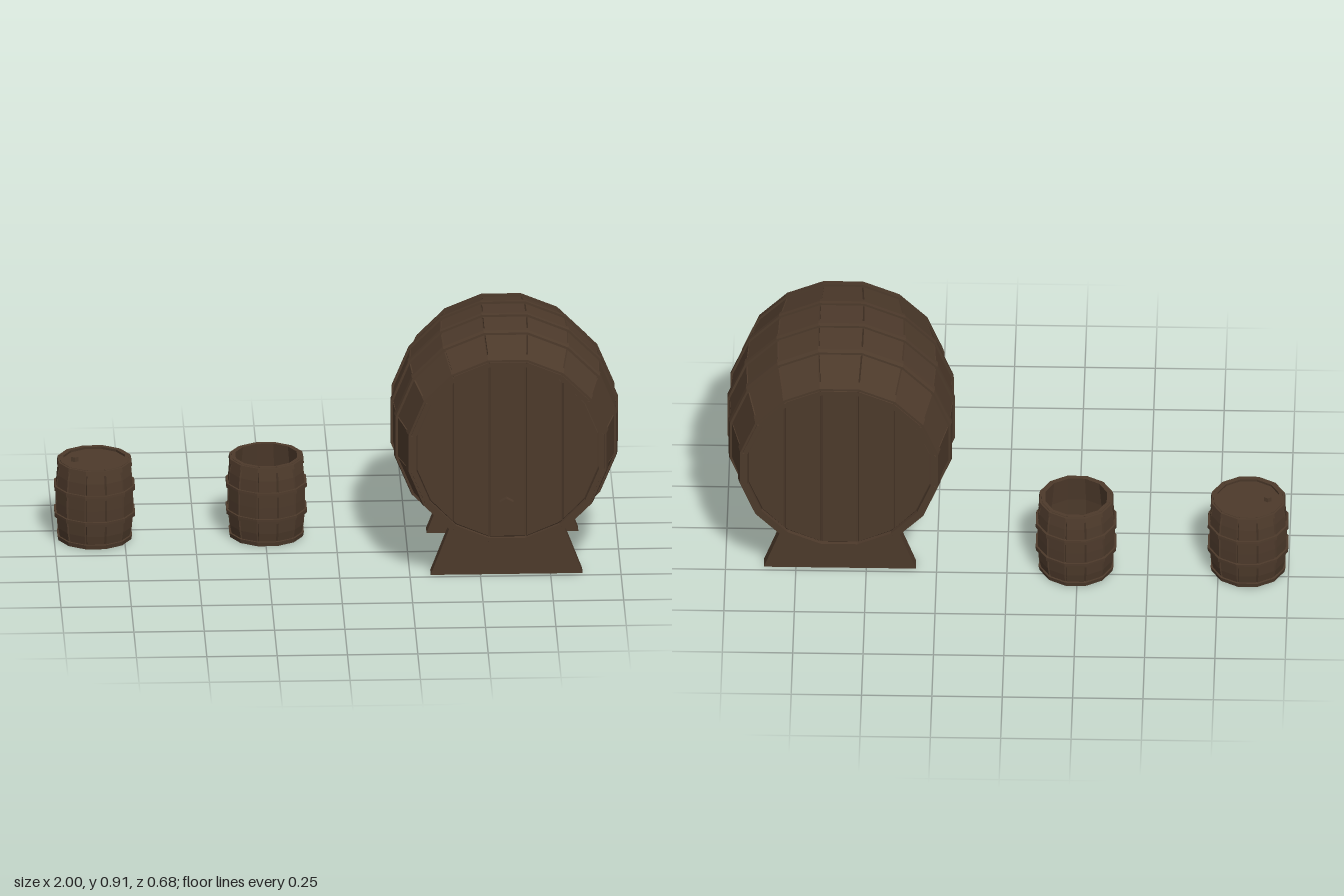
import * as THREE from 'three';

const wood = new THREE.MeshStandardMaterial({ color: 0x4d3a2b, flatShading: true });
wood.name = 'dark wood';

function add(parent, name, geometry) {
  const geo = geometry.index ? geometry.toNonIndexed() : geometry;
  geo.computeVertexNormals();
  const mesh = new THREE.Mesh(geo, wood);
  mesh.name = name;
  parent.add(mesh);
  return mesh;
}

// Polygonal lathe; profile points are [distance to the flat side, height]
function polygonLathe(profile, n) {
  const k = 1 / Math.cos(Math.PI / n);
  const points = profile.map(([r, y]) => new THREE.Vector2(r * k, y));
  return new THREE.LatheGeometry(points, n, Math.PI / n);
}

// Stave shell: each stave is flat, with a narrow V groove at each seam
function staveShell(profile, n, grooved, gap, depth) {
  const geo = new THREE.LatheGeometry(profile.map(([r, y]) => new THREE.Vector2(r, y)), 3 * n);
  const pos = geo.attributes.position;
  const half = Math.PI / n;
  for (let j = 0; j <= 3 * n; j++) {
    const centre = Math.floor(j / 3) * 2 * half;
    profile.forEach(([r, y], i) => {
      const cut = grooved(i);
      const side = r * Math.tan(half) - gap;
      let radius = Math.hypot(r, side);
      let angle = centre + (j % 3 === 1 ? -1 : 1) * Math.atan2(side, r);
      if (j % 3 === 0) {
        radius = r / Math.cos(half) - (cut ? depth : 0);
        angle = centre - half;
      }
      pos.setXYZ(j * profile.length + i, radius * Math.sin(angle), y, radius * Math.cos(angle));
    });
  }
  return geo;
}

// Flat-to-flat radius of the stave profile at height y
function radiusAt(profile, y) {
  const i = Math.max(1, profile.findIndex((p) => p[1] >= y));
  const [r0, y0] = profile[i - 1];
  const [r1, y1] = profile[i];
  return r0 + ((r1 - r0) * (y - y0)) / (y1 - y0);
}

// Hoop following the slope of the staves
function hoop(outer, n, y, width, thick) {
  const a = y - width / 2, b = y + width / 2;
  const mid = (a + b) / 2;
  const ra = radiusAt(outer, a), rb = radiusAt(outer, b), rm = radiusAt(outer, mid);
  return polygonLathe([
    [ra + thick, a], [rm + thick, mid], [rb + thick, b],
    [rb - 0.004, b], [ra - 0.004, a], [ra + thick, a],
  ], n);
}

// Solid polygonal disc between two heights
function disc(r, y0, y1, n) {
  return polygonLathe([[0, y0], [r, y0], [r, y1], [0, y1]], n);
}

// One bevelled head plank, cut to the polygonal outline
function plank(x0, x1, r, n, depth) {
  const height = (x) => {
    let h = Infinity;
    for (let k = 0; k < n; k++) {
      const t = (2 * Math.PI * k) / n;
      if (Math.sin(t) > 0.01) h = Math.min(h, (r - x * Math.cos(t)) / Math.sin(t));
    }
    return h;
  };
  const xs = [x0, x1];
  for (let k = 0; k < n / 2; k++) {
    const x = (r / Math.cos(Math.PI / n)) * Math.cos(((2 * k + 1) * Math.PI) / n);
    if (x > x0 + 0.004 && x < x1 - 0.004) xs.push(x);
  }
  xs.sort((a, b) => a - b);
  const outline = xs.map((x) => new THREE.Vector2(x, -height(x)));
  outline.push(...xs.reverse().map((x) => new THREE.Vector2(x, height(x))));
  return new THREE.ExtrudeGeometry(new THREE.Shape(outline), {
    depth, bevelSize: 0.004, bevelOffset: -0.004, bevelThickness: 0.004, bevelSegments: 1,
  });
}

// Large cask lying along z on two cradle boards
function largeCask() {
  const group = new THREE.Group();
  group.name = 'largeCask';
  const n = 16;
  const cask = new THREE.Group();
  cask.name = 'caskBody';
  cask.position.set(0.594, 0.501, 0);
  cask.rotation.x = Math.PI / 2;
  group.add(cask);

  const outer = [[0.343, -0.33], [0.388, -0.145], [0.397, 0], [0.388, 0.145], [0.343, 0.33]];
  const shell = [[0.325, -0.3], [0.325, -0.33], ...outer, [0.325, 0.33], [0.325, 0.3]];
  add(cask, 'staves', staveShell(shell, n, (i) => i > 1 && i < 7, 0.003, 0.008));
  for (const y of [-0.311, -0.146, 0, 0.146, 0.311]) add(cask, 'hoop', hoop(outer, n, y, 0.032, 0.008));

  // Planked heads at both ends
  for (const end of [1, -1]) {
    const head = new THREE.Group();
    head.name = end > 0 ? 'frontHead' : 'backHead';
    head.rotation.x = (-end * Math.PI) / 2;
    cask.add(head);
    for (let i = 0; i < 5; i++) {
      const x = -0.325 + i * 0.13;
      add(head, 'headPlank', plank(x + 0.001, x + 0.129, 0.325, n, 0.012)).position.z = 0.302;
    }
  }
  add(cask, 'headBacking', disc(0.327, -0.306, 0.306, n));

  // Bung low on the front head
  const bung = add(cask, 'bung', new THREE.CylinderGeometry(0.029, 0.029, 0.03, 6));
  bung.position.set(-0.004, 0.326, 0.2);

  // Cradle boards
  const board = new THREE.Shape([[-0.27, 0], [0.27, 0], [0.2, 0.185], [-0.2, 0.185]]
    .map(([x, y]) => new THREE.Vector2(x, y)));
  for (const z of [0.18, -0.23]) {
    const geo = new THREE.ExtrudeGeometry(board, { depth: 0.05, bevelEnabled: false });
    add(group, 'cradleBoard', geo).position.set(0.594, 0, z);
  }
  return group;
}

// Small upright barrel, closed with a lid or left open
function smallBarrel(name, x, z, open) {
  const group = new THREE.Group();
  group.name = name;
  group.position.set(x, 0, z);
  const n = 12;
  const outer = [[0.122, 0], [0.132, 0.05], [0.136, 0.1], [0.137, 0.15], [0.136, 0.2], [0.132, 0.25], [0.122, 0.3]];
  const inner = [[0.109, 0.3], [0.12, 0.2], [0.12, 0.1], [0.107, 0.012]];
  const shell = [[0.109, 0.012], [0.109, 0], ...outer, ...inner];
  add(group, 'staves', staveShell(shell, n, (i) => i > 1 && i < 9, 0.004, 0.007));
  for (const y of [0.01, 0.1, 0.2, 0.29]) add(group, 'hoop', hoop(outer, n, y, 0.016, 0.007));
  add(group, 'floor', disc(0.11, 0.006, 0.02, n));
  if (!open) {
    add(group, 'lid', disc(0.112, 0.27, 0.291, n));
    const bung = add(group, 'bung', new THREE.CylinderGeometry(0.015, 0.015, 0.03, 6));
    bung.position.set(-0.07, 0.293, 0);
  }
  return group;
}

export function createModel() {
  const model = new THREE.Group();
  model.name = 'barrels';
  model.add(
    largeCask(),
    smallBarrel('closedBarrel', -0.856, -0.188, false),
    smallBarrel('openBarrel', -0.245, -0.196, true),
  );
  return model;
}
